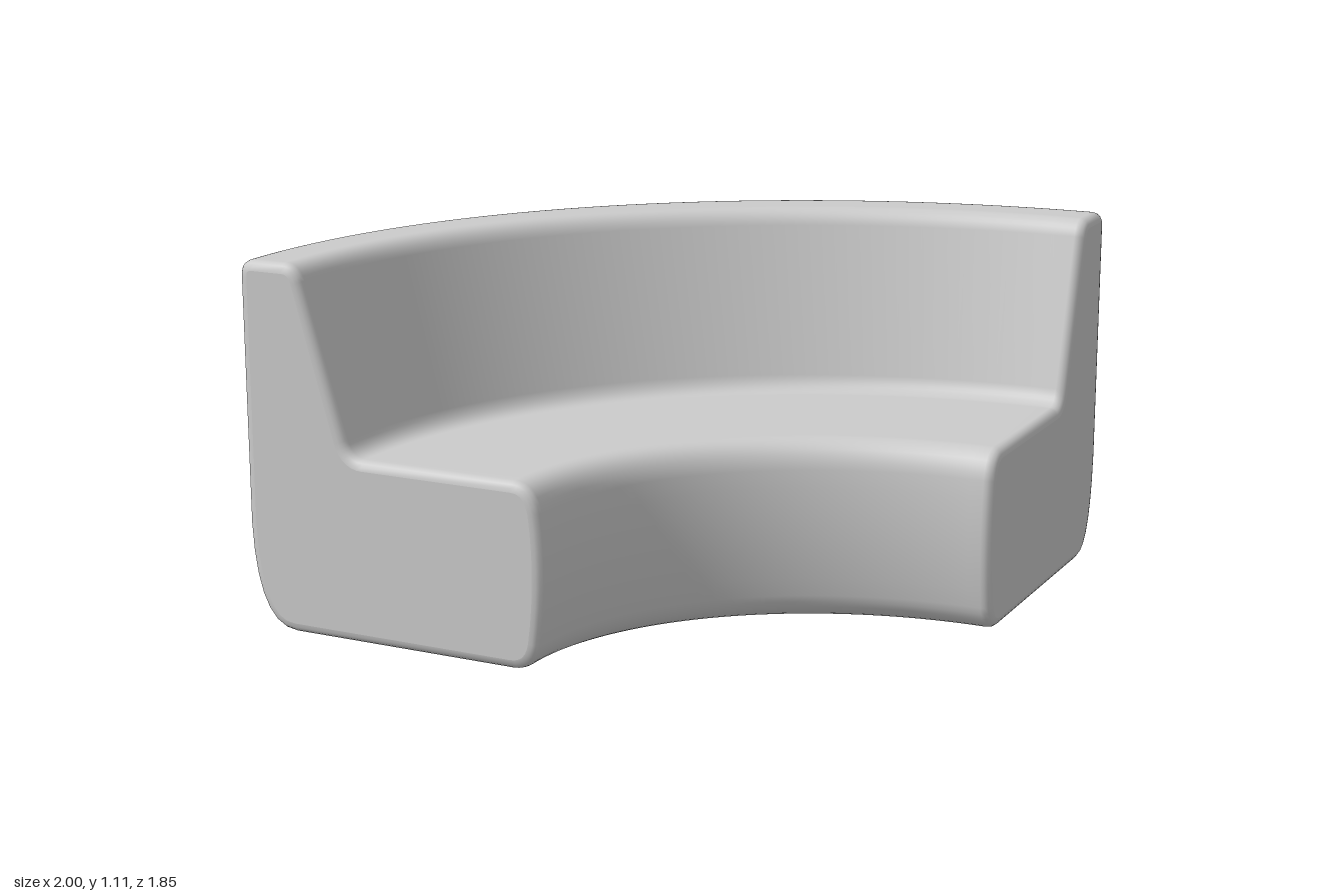
import * as THREE from 'three';

// Side profile: d runs from the back (0) to the seat front (0.985), y is up
function makeProfile() {
  const s = new THREE.Shape();
  s.moveTo(0.15, 0);
  s.lineTo(0.88, 0);
  s.quadraticCurveTo(0.955, 0, 0.97, 0.08);       // lower front edge
  s.quadraticCurveTo(1.0, 0.28, 0.975, 0.47);     // bulging seat front
  s.quadraticCurveTo(0.96, 0.555, 0.89, 0.555);   // upper front edge
  s.lineTo(0.40, 0.555);
  s.quadraticCurveTo(0.355, 0.555, 0.34, 0.605);  // seat meets backrest
  s.lineTo(0.21, 1.06);
  s.quadraticCurveTo(0.195, 1.11, 0.15, 1.11);    // top of backrest
  s.lineTo(0.05, 1.11);
  s.quadraticCurveTo(0, 1.11, 0, 1.06);
  s.lineTo(0, 0.32);
  s.quadraticCurveTo(0.01, 0, 0.15, 0);           // rounded lower back
  const pts = s.getPoints(7);
  pts.pop();
  return pts;
}

// Shrink a closed counterclockwise outline by a distance
function inset(pts, dist) {
  const n = pts.length;
  const normal = (a, b) => new THREE.Vector2(b.y - a.y, a.x - b.x).normalize();
  return pts.map((p, i) => {
    const n1 = normal(pts[(i + n - 1) % n], p);
    const n2 = normal(p, pts[(i + 1) % n]);
    const m = n1.clone().add(n2).normalize();
    return p.clone().addScaledVector(m, -dist / Math.max(0.5, m.dot(n1)));
  });
}

function makeSofaGeometry() {
  const R = 0.03, EDGE = 4, ARC = 40;
  const cx = 1 - R, cz = 0.925 - R, rx = 2 - R, rz = 1.85 - R;
  const profile = makeProfile(), n = profile.length;

  // Stations: rounded start, quarter sweep, rounded end
  const stations = [];
  for (let k = 0; k < EDGE; k++) {
    const a = (k / EDGE) * Math.PI / 2;
    stations.push({ angle: 0, push: R * Math.cos(a), shrink: R * (1 - Math.sin(a)) });
  }
  const rounded = stations.map(s => ({ ...s, angle: Math.PI / 2 })).reverse();
  for (let i = 0; i <= ARC; i++) {
    stations.push({ angle: (i / ARC) * Math.PI / 2, push: 0, shrink: 0 });
  }
  stations.push(...rounded);

  const pos = [], index = [];
  const addRing = ({ angle, push, shrink }) => {
    const c = Math.cos(angle), s = Math.sin(angle);
    for (const p of inset(profile, shrink)) {
      pos.push(cx - (rx - p.x) * c + push * s, p.y, cz - (rz - p.x) * s + push * c);
    }
  };
  stations.forEach(addRing);
  for (let i = 0; i < stations.length - 1; i++) {
    for (let j = 0; j < n; j++) {
      const k = (j + 1) % n;
      const a = i * n + j, b = i * n + k, c = a + n, d = b + n;
      index.push(a, c, b, b, c, d);
    }
  }

  // Flat end faces with their own vertices
  const last = stations.length - 1;
  const tris = THREE.ShapeUtils.triangulateShape(inset(profile, R), []);
  [0, last].forEach(e => {
    const base = pos.length / 3;
    addRing(stations[e]);
    for (const [a, b, c] of tris) {
      if (e === 0) index.push(base + a, base + b, base + c);
      else index.push(base + a, base + c, base + b);
    }
  });

  const g = new THREE.BufferGeometry();
  g.setAttribute('position', new THREE.Float32BufferAttribute(pos, 3));
  g.setIndex(index);
  g.computeVertexNormals();
  return g;
}

export function createModel() {
  const group = new THREE.Group();
  group.name = 'curvedSofa';
  const body = new THREE.Mesh(
    makeSofaGeometry(),
    new THREE.MeshStandardMaterial({ color: 0xcccccc })
  );
  body.name = 'seatAndBackrest';
  group.add(body);
  return group;
}
